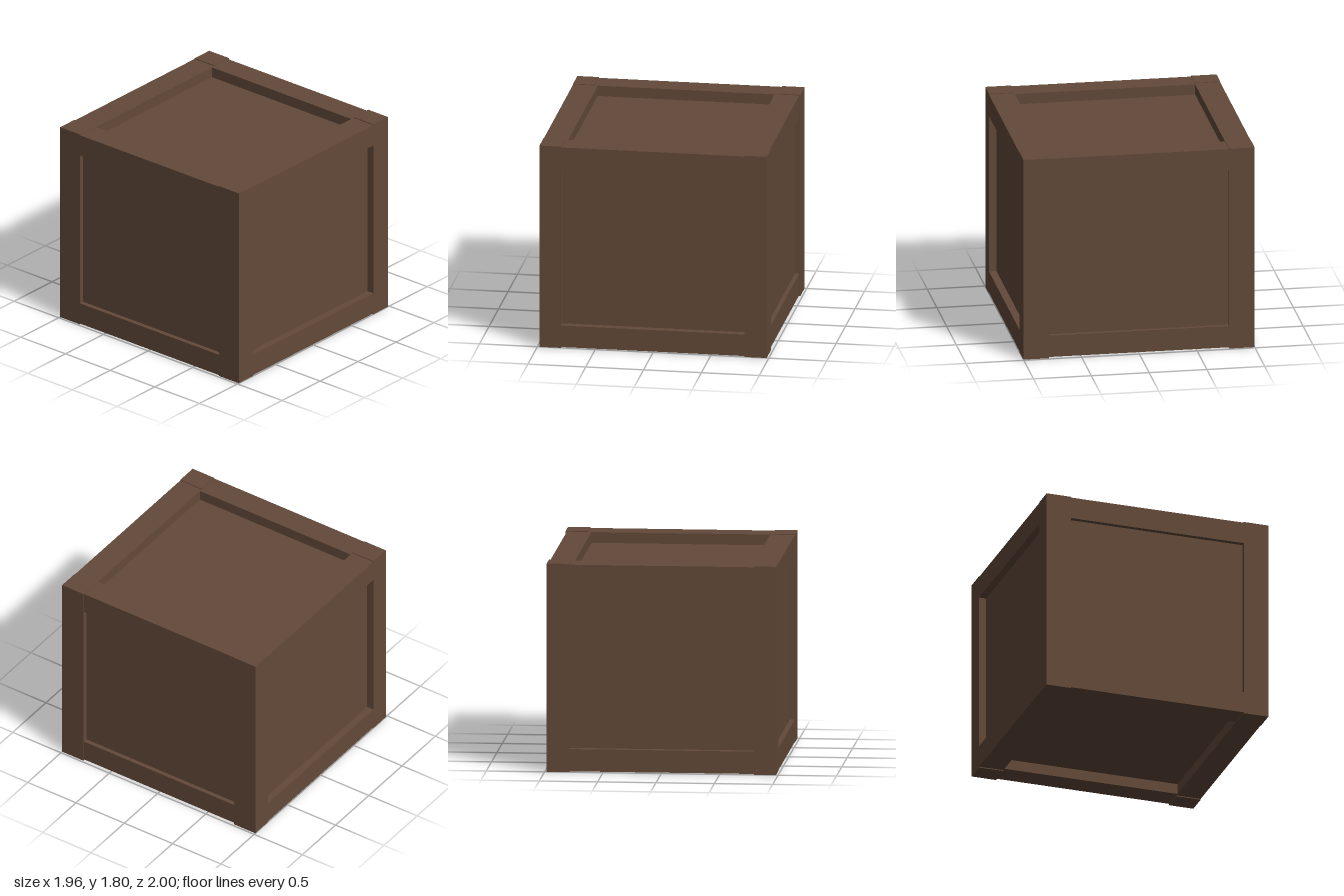
import * as THREE from 'three';

export function createModel() {
  const crate = new THREE.Group();
  crate.name = 'crate';
  const wood = new THREE.MeshStandardMaterial({ color: 0x634a39 });
  wood.name = 'brown wood';

  // Box given by its limits on each axis
  const box = (name, [x0, x1], [y0, y1], [z0, z1]) => {
    const mesh = new THREE.Mesh(new THREE.BoxGeometry(x1 - x0, y1 - y0, z1 - z0), wood);
    mesh.name = name;
    mesh.position.set((x0 + x1) / 2, (y0 + y1) / 2, (z0 + z1) / 2);
    crate.add(mesh);
  };

  // Recessed panels form one inner body
  box('innerPanels', [-0.94, 0.935], [0.1, 1.7], [-0.935, 0.935]);

  const left = [0.79, 0.982], right = [-0.982, -0.795];
  const front = [0.78, 1], back = [-1, -0.78];
  const levels = { lower: [0.008, 0.2], upper: [1.6, 1.793] };

  // Corner posts stand slightly proud of the rails
  for (const z of [front, back]) {
    for (const x of [left, right]) box('cornerPost', x, [0, 1.8], z);
  }

  // Rails between the posts, top and bottom
  for (const [level, y] of Object.entries(levels)) {
    box(level + 'FrontRail', [-0.795, 0.79], y, front);
    box(level + 'BackRail', [-0.795, 0.79], y, back);
    box(level + 'LeftRail', [0.76, 0.972], y, [-0.78, 0.78]);
    box(level + 'RightRail', [-0.982, -0.77], y, [-0.78, 0.78]);
  }
  return crate;
}
